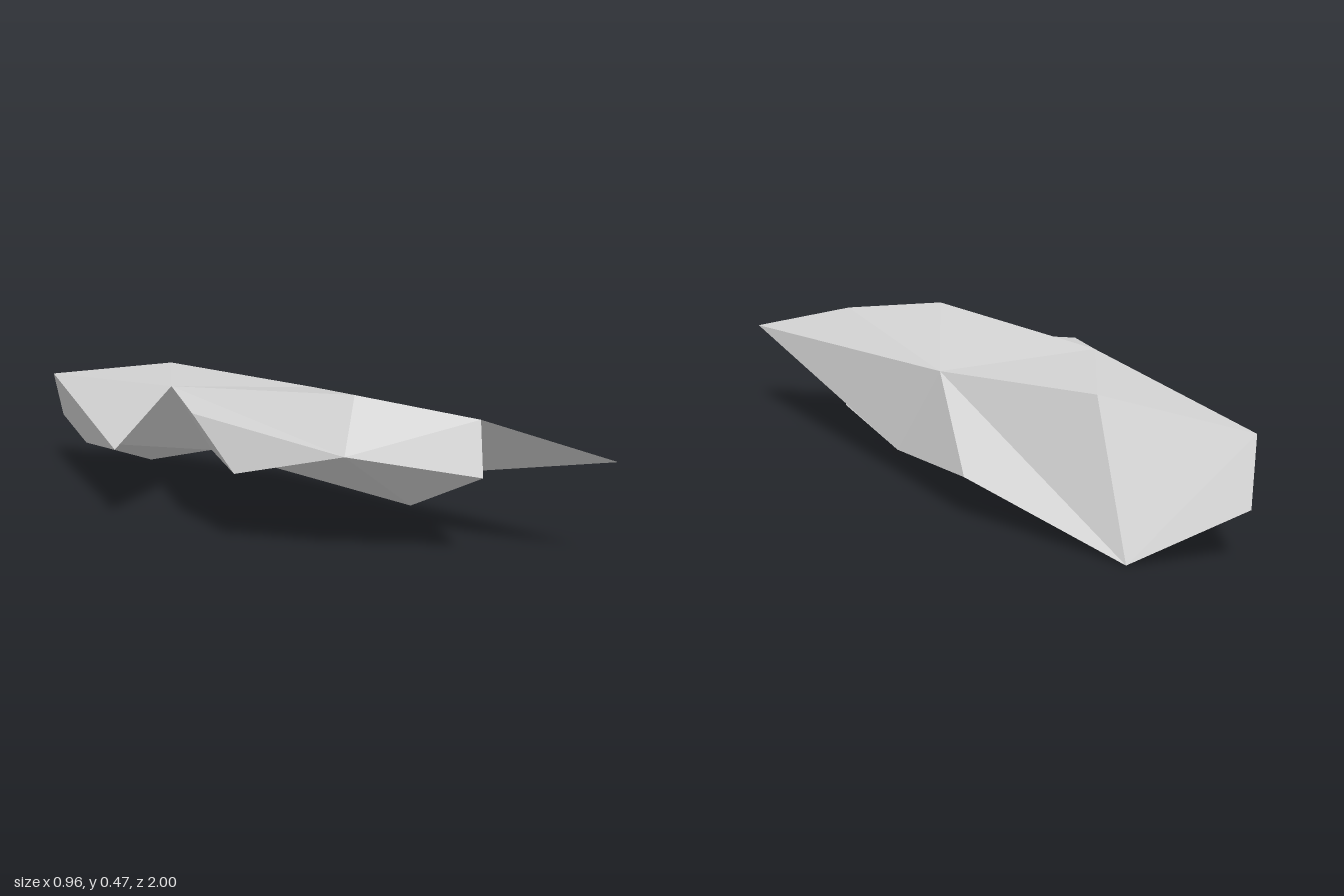
import * as THREE from 'three';

// Corner points of the boulder
const corners = {
  // rear end
  A: [-0.26, 0.175, -1.0], B: [-0.33, 0.35, -0.915], C: [0.01, 0, -0.825],
  D: [-0.03, 0.41, -0.585], Q: [-0.32, 0.14, -0.684], E: [0.272, 0.14, -0.355],
  // middle
  F: [-0.48, 0.25, -0.145], G: [-0.26, 0.42, -0.175], H: [0.22, 0.38, -0.07],
  R: [-0.07, 0.17, -0.25], I: [0.303, 0.093, 0.085], J: [-0.337, 0.39, 0.085],
  K: [-0.295, 0.235, 0.25],
  // front end
  L: [-0.008, 0.47, 0.445], M: [-0.128, 0.328, 0.56], N: [0.227, 0.42, 0.72],
  O: [0.202, 0.264, 0.765], P: [0.48, 0.322, 1.0], S: [0.148, 0.133, 0.52],
  T: [0.341, 0.145, 0.46],
};

// Facets as fans: a hub corner and the ring of corners around it
const fans = [
  ['C', 'ABDHERQA'],    // rear foot
  ['G', 'FQRKJMLHDBF'], // upper right ridge
  ['I', 'REHP'],        // lower left side
  ['M', 'JKRSONL'],     // front right face
  ['Q', 'FBA'],         // rear right side
  ['N', 'OTIPHL'],      // front left shoulder and notch
  ['S', 'RITO'],        // front chin
];

function facetedGeometry() {
  const positions = [];
  for (const [hub, ring] of fans) {
    for (let i = 0; i < ring.length - 1; i++) {
      positions.push(...corners[hub], ...corners[ring[i]], ...corners[ring[i + 1]]);
    }
  }
  const geometry = new THREE.BufferGeometry();
  geometry.setAttribute('position', new THREE.Float32BufferAttribute(positions, 3));
  geometry.computeVertexNormals(); // unshared corners give flat facets
  return geometry;
}

export function createModel() {
  const stone = new THREE.MeshStandardMaterial({ color: 0xd2d2d2 });
  stone.name = 'light grey stone';
  stone.flatShading = true;

  const group = new THREE.Group();
  group.name = 'rock';
  const boulder = new THREE.Mesh(facetedGeometry(), stone);
  boulder.name = 'boulder';
  group.add(boulder);
  return group;
}
